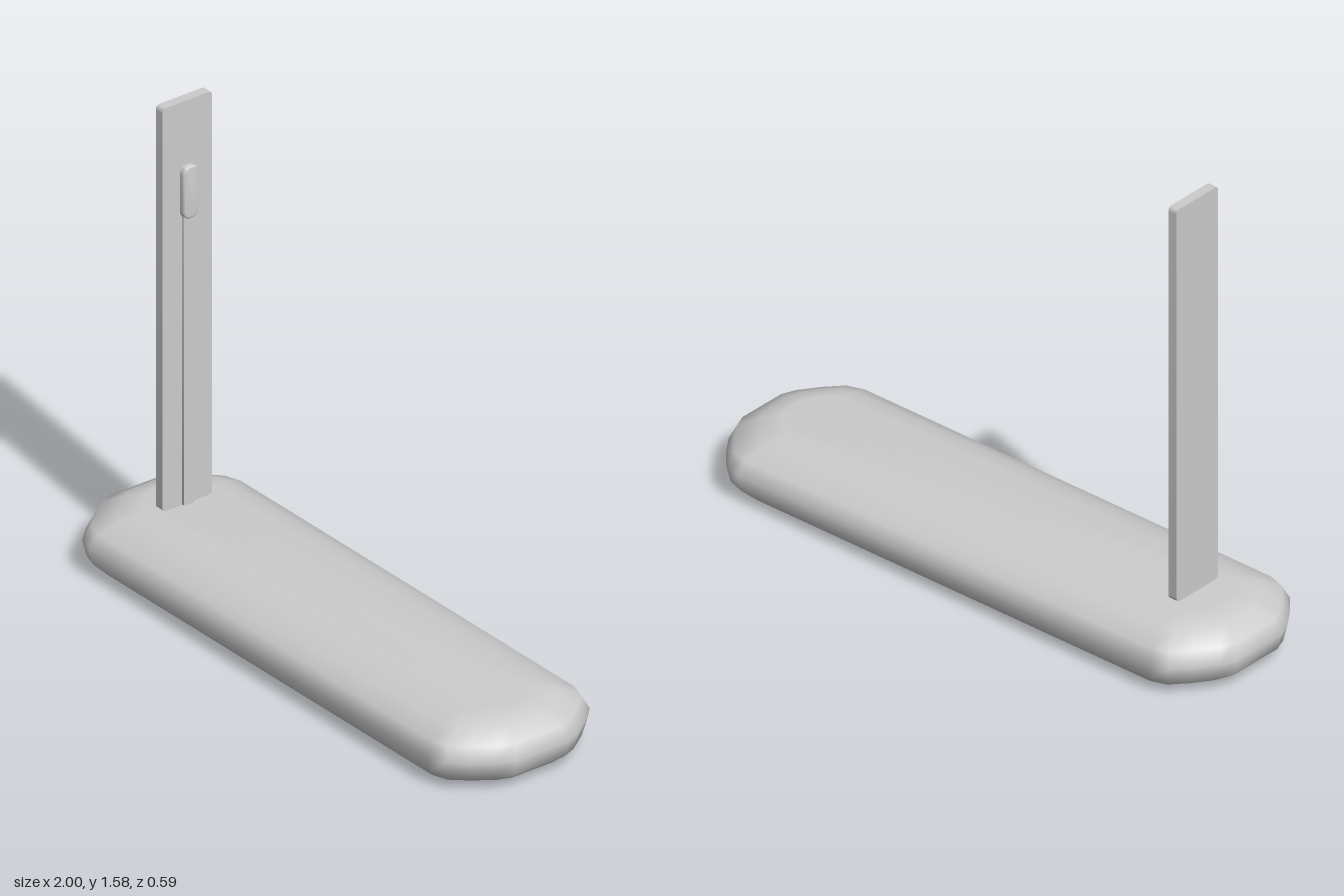
import * as THREE from 'three';
import { toCreasedNormals } from 'three/addons/utils/BufferGeometryUtils.js';

const material = new THREE.MeshStandardMaterial({ color: 0xcccccc });

// Upright rounded plate facing +x, from x0 to x1 and y0 to y1
function plate(name, x0, x1, y0, y1, halfWidth, radius, bevel = 0) {
  const w = halfWidth - bevel, b = y0 + bevel, t = y1 - bevel, r = radius;
  const s = new THREE.Shape();
  s.moveTo(-w + r, b).lineTo(w - r, b).quadraticCurveTo(w, b, w, b + r);
  s.lineTo(w, t - r).quadraticCurveTo(w, t, w - r, t);
  s.lineTo(-w + r, t).quadraticCurveTo(-w, t, -w, t - r);
  s.lineTo(-w, b + r).quadraticCurveTo(-w, b, -w + r, b);
  const geo = new THREE.ExtrudeGeometry(s, {
    depth: x1 - x0 - 2 * bevel, curveSegments: 5,
    bevelEnabled: bevel > 0, bevelSize: bevel, bevelThickness: bevel, bevelSegments: 3,
  });
  geo.translate(0, 0, x0 + bevel).rotateY(Math.PI / 2);
  const mesh = new THREE.Mesh(toCreasedNormals(geo, 0.7), material);
  mesh.name = name;
  return mesh;
}

// Horizontal outline of the base with chamfered, softened corners
function baseOutline(halfX, halfZ, k) {
  const corner = [[0.18, 0], [0.12, 0.02], [0.07, 0.075], [0.02, 0.145], [0, 0.195]];
  const pts = [];
  for (const [sx, sz] of [[1, 1], [1, -1], [-1, -1], [-1, 1]]) {
    const list = sx * sz > 0 ? corner : [...corner].reverse();
    for (const [dx, dz] of list) pts.push([sx * (halfX - k * dx), sz * (halfZ - k * dz)]);
  }
  return pts;
}

// Pillow-shaped base: stacked outlines, smooth on top and flat underneath
function createBase() {
  // height, half length, half width, corner scale
  const levels = [
    [0, 0.9, 0.225, 0.85], [0.01, 0.945, 0.25, 0.9], [0.045, 0.988, 0.284, 0.97],
    [0.1, 1, 0.295, 1], [0.145, 0.98, 0.272, 0.95], [0.178, 0.92, 0.205, 0.75],
    [0.2, 0.85, 0.13, 0.5],
  ];
  const pos = [], index = [], n = 20;
  for (const [y, hx, hz, k] of levels)
    for (const [x, z] of baseOutline(hx, hz, k)) pos.push(x, y, z);
  for (let l = 0; l < levels.length - 1; l++)
    for (let i = 0; i < n; i++) {
      const a = l * n + i, b = l * n + (i + 1) % n;
      index.push(a, b, b + n, a, b + n, a + n);
    }
  // Top cap shares the rim for soft shading
  const top = (levels.length - 1) * n, center = pos.length / 3;
  pos.push(0, 0.2, 0);
  for (let i = 0; i < n; i++) index.push(center, top + i, top + (i + 1) % n);
  // Bottom cap has its own rim for a crisp edge
  const rim = pos.length / 3;
  for (const [x, z] of baseOutline(...levels[0].slice(1))) pos.push(x, 0, z);
  for (let i = 1; i < n - 1; i++) index.push(rim, rim + i + 1, rim + i);

  const geo = new THREE.BufferGeometry();
  geo.setAttribute('position', new THREE.Float32BufferAttribute(pos, 3));
  geo.setIndex(index);
  geo.computeVertexNormals();
  const mesh = new THREE.Mesh(geo, material);
  mesh.name = 'base';
  return mesh;
}

export function createModel() {
  const group = new THREE.Group();
  group.name = 'standWithPost';
  group.add(
    createBase(),
    plate('post', -0.754, -0.721, 0.2, 1.575, 0.094, 0.015),
    plate('rail', -0.73, -0.712, 0.2, 1.2, 0.02, 0.004),
    plate('slider', -0.735, -0.7, 1.18, 1.358, 0.028, 0.02, 0.006),
  );
  return group;
}
